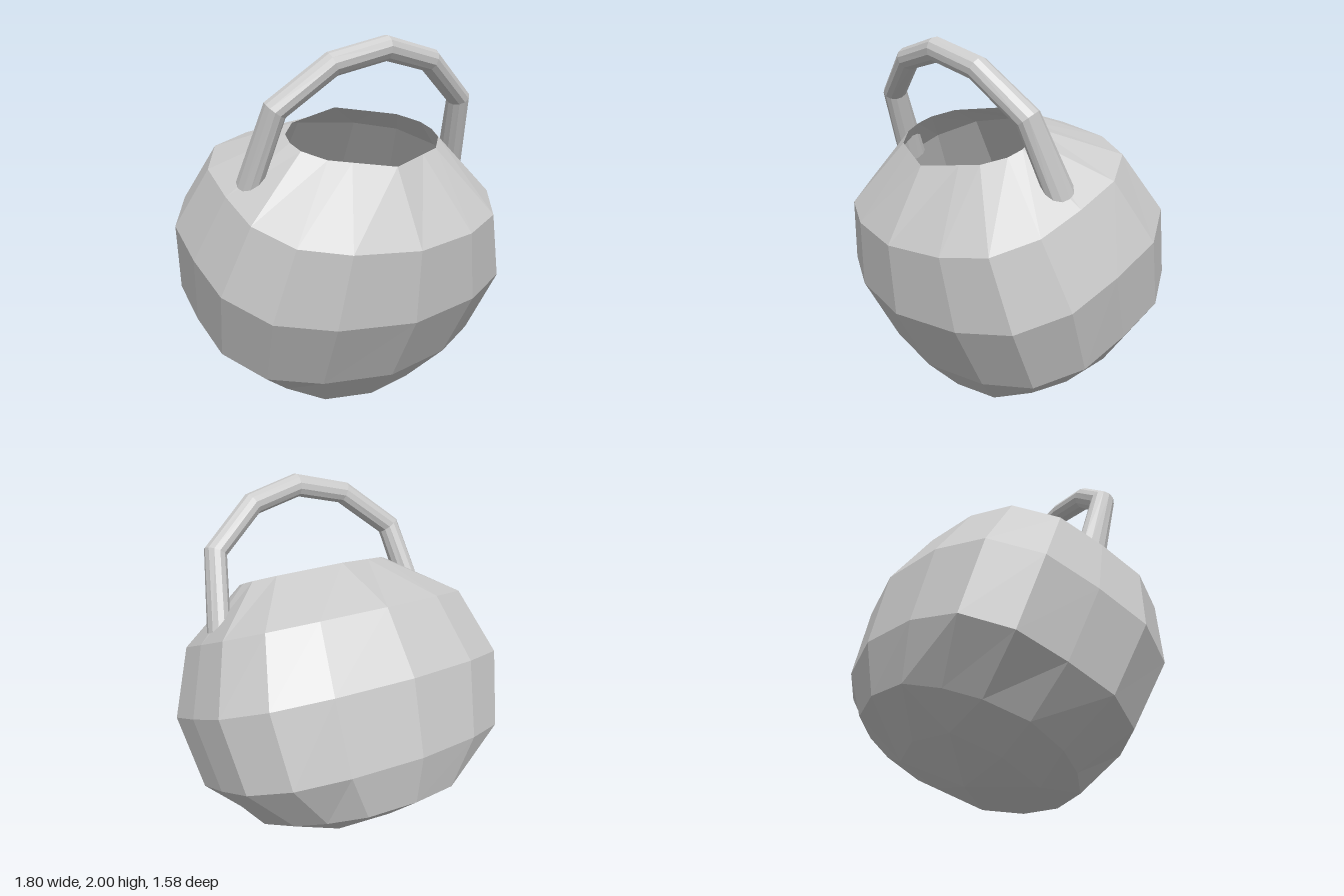
import * as THREE from 'three';

const TILT = 0.381; // the pot leans forward by this angle
const V = (x, y, z) => new THREE.Vector3(x, y, z);

// Faceted skin over a list of closed rings, each with the same number of points
function loft(rings) {
  const n = rings[0].length, pos = [], index = [];
  rings.forEach(r => r.forEach(p => pos.push(p.x, p.y, p.z)));
  for (let i = 0; i < rings.length - 1; i++)
    for (let j = 0; j < n; j++) {
      const k = (j + 1) % n, a = i * n + j, b = i * n + k, c = b + n, d = a + n;
      index.push(a, b, c, a, c, d);
    }
  const g = new THREE.BufferGeometry();
  g.setAttribute('position', new THREE.Float32BufferAttribute(pos, 3));
  g.setIndex(index);
  const flat = g.toNonIndexed();
  flat.computeVertexNormals();
  return flat;
}

// Quarter outlines (x, z) from front to left side
const ROUND = [[0, 1], [0.48, 0.91], [0.805, 0.735], [0.98, 0.4], [1, 0]];
const BASE = [[0, 1], [0.45, 0.92], [0.72, 0.68], [0.9, 0.4], [1, 0]];
const CORE = [[0, 1], [0.82, 0.8], [0.82, 0.8], [0.82, 0.8], [1, 0]];
const RIM = [[0, 1], [0.49, 0.74], [0.75, 0.6], [0.96, 0.27], [1, 0]];

// Mirror a quarter outline into 16 points
function outline(q) {
  const back = q.slice(0, 4).reverse().map(([x, z]) => [x, -z]);
  const half = [...q, ...back];
  const other = half.slice(1, 8).reverse().map(([x, z]) => [-x, z]);
  return [...half, ...other];
}

function potGeometry() {
  // outline, half width, half depth, height, forward shift
  const levels = [
    [CORE, 0, 0, -0.836, 0.07],
    [CORE, 0.36, 0.342, -0.767, 0.06],
    [BASE, 0.62, 0.597, -0.668, 0.022],
    [ROUND, 0.83, 0.725, -0.416, 0.005],
    [ROUND, 0.9, 0.78, 0, 0],
    [ROUND, 0.77, 0.667, 0.375, -0.003],
    [RIM, 0.455, 0.323, 0.655, -0.006],
  ];
  const g = loft(levels.map(([q, a, b, h, s]) =>
    outline(q).map(([x, z]) => V(x * a, h, z * b + s))));
  return g.rotateX(TILT).translate(0, 0.86, 0.035);
}

function handleGeometry() {
  const up = V(0, 0.933, 0.36), normal = V(0, -0.36, 0.933);
  // x, y, in-plane radius, depth radius from the left foot to the crown
  const half = [[0.655, 1.24, 0.06, 0.085], [0.575, 1.65, 0.06, 0.068], [0.3, 1.865, 0.062, 0.063]];
  const path = [...half, [0, 1.935, 0.064, 0.061],
    ...half.slice().reverse().map(([x, ...r]) => [-x, ...r])];
  const centres = path.map(([x, y]) => V(x, 1.935, 0.455).addScaledVector(up, (y - 1.935) / up.y));
  const dir = i => centres[i + 1].clone().sub(centres[i]).normalize();
  const last = path.length - 1, sides = 12;
  return loft(centres.map((c, i) => {
    const a = dir(Math.max(i - 1, 0)), b = dir(Math.min(i, last - 1));
    const t = a.clone().add(b).normalize();
    const e = normal.clone().cross(t).normalize();
    const miter = 1 / t.dot(a);
    return Array.from({ length: sides }, (_, j) => {
      const w = j / sides * Math.PI * 2;
      return c.clone().addScaledVector(e, Math.cos(w) * path[i][2] * miter)
        .addScaledVector(normal, Math.sin(w) * path[i][3]);
    });
  }));
}

export function createModel() {
  const group = new THREE.Group();
  group.name = 'tiltedPot';
  const material = new THREE.MeshStandardMaterial({
    color: 0xcccccc, flatShading: true, side: THREE.DoubleSide,
  });
  // Hollow thin-walled pot, open at the rim
  const pot = new THREE.Mesh(potGeometry(), material);
  pot.name = 'pot';
  // Arched handle with both feet sunk into the shoulders
  const handle = new THREE.Mesh(handleGeometry(), material);
  handle.name = 'handle';
  group.add(pot, handle);
  return group;
}
